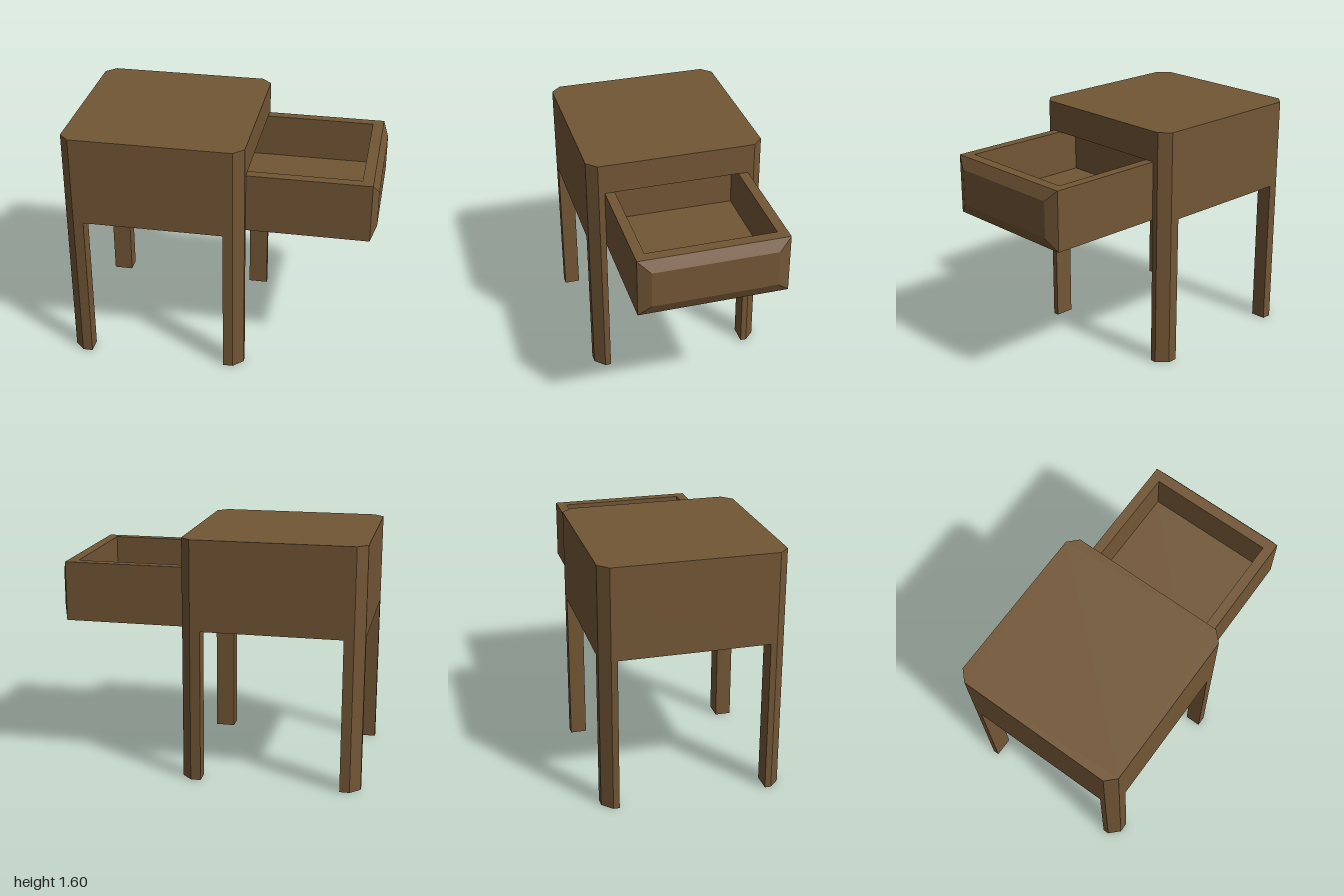
import * as THREE from 'three';

const wood = new THREE.MeshStandardMaterial({ color: 0x725635, flatShading: true });

// Extrude a plan outline of [x, z] points from y0 up to y1
function slab(name, points, y0, y1, hole) {
  const toPath = (pts) => pts.map(([x, z]) => new THREE.Vector2(x, -z));
  const shape = new THREE.Shape(toPath(points));
  if (hole) shape.holes.push(new THREE.Path(toPath(hole)));
  const geo = new THREE.ExtrudeGeometry(shape, { depth: y1 - y0, bevelEnabled: false });
  geo.rotateX(-Math.PI / 2).translate(0, y0, 0);
  const mesh = new THREE.Mesh(geo, wood);
  mesh.name = name;
  return mesh;
}

// Counter-clockwise seen from above, so that hole walls face inwards
const rect = (x0, x1, z) => [[x0, z], [x1, z], [x1, -z], [x0, -z]];

export function createModel() {
  const model = new THREE.Group();
  model.name = 'nightstand';

  const X0 = -1, X1 = 0.174, Z = 0.585, C = 0.065; // cabinet plan and corner chamfer
  const BASE = 1.01, MID = 1.4, TOP = 1.6;
  const DZ = 0.48, BACK = -0.04, FRONT = 0.963;    // drawer half width, back and front

  // Cabinet top with chamfered corners
  model.add(slab('cabinetTop', [
    [X0 + C, -Z], [X1 - C, -Z], [X1, -Z + C], [X1, Z - C],
    [X1 - C, Z], [X0 + C, Z], [X0, Z - C], [X0, -Z + C],
  ], MID, TOP));

  // Cabinet body, open towards +x for the drawer
  model.add(slab('cabinetBody', [
    [X0 + C, -Z], [X1 - C, -Z], [X1, -Z + C], [X1, -DZ], [BACK, -DZ], [BACK, DZ],
    [X1, DZ], [X1, Z - C], [X1 - C, Z], [X0 + C, Z], [X0, Z - C], [X0, -Z + C],
  ], BASE, MID));

  // Four legs, each with its outer corner cut off
  const cx = (X0 + X1) / 2, hx = (X1 - X0) / 2, legX = 0.13;
  for (const sx of [-1, 1]) for (const sz of [-1, 1]) {
    const outline = [
      [hx - legX, DZ], [hx, DZ], [hx, Z - C], [hx - C, Z], [hx - legX, Z],
    ].map(([x, z]) => [cx + sx * x, sz * z]);
    model.add(slab('leg', outline, 0, BASE));
  }

  // Pulled-out drawer: floor, walls and a bevelled front panel
  const drawer = new THREE.Group();
  drawer.name = 'drawer';
  const floorY = 1.11;
  drawer.add(slab('drawerFloor', rect(BACK, FRONT, DZ), BASE, floorY));
  drawer.add(slab('drawerWalls', rect(BACK, FRONT, DZ), floorY, MID, rect(0.035, 0.893, 0.415)));

  const depth = 1 - FRONT;
  const panelGeo = new THREE.BoxGeometry(depth, MID - BASE, DZ * 2);
  const pos = panelGeo.attributes.position;
  for (let i = 0; i < pos.count; i++) {
    if (pos.getX(i) > 0) {
      pos.setY(i, Math.sign(pos.getY(i)) * 0.12);
      pos.setZ(i, Math.sign(pos.getZ(i)) * 0.4);
    }
  }
  panelGeo.computeVertexNormals();
  const panel = new THREE.Mesh(panelGeo, wood);
  panel.name = 'drawerFront';
  panel.position.set(FRONT + depth / 2, (BASE + MID) / 2, 0);
  drawer.add(panel);
  model.add(drawer);

  return model;
}
